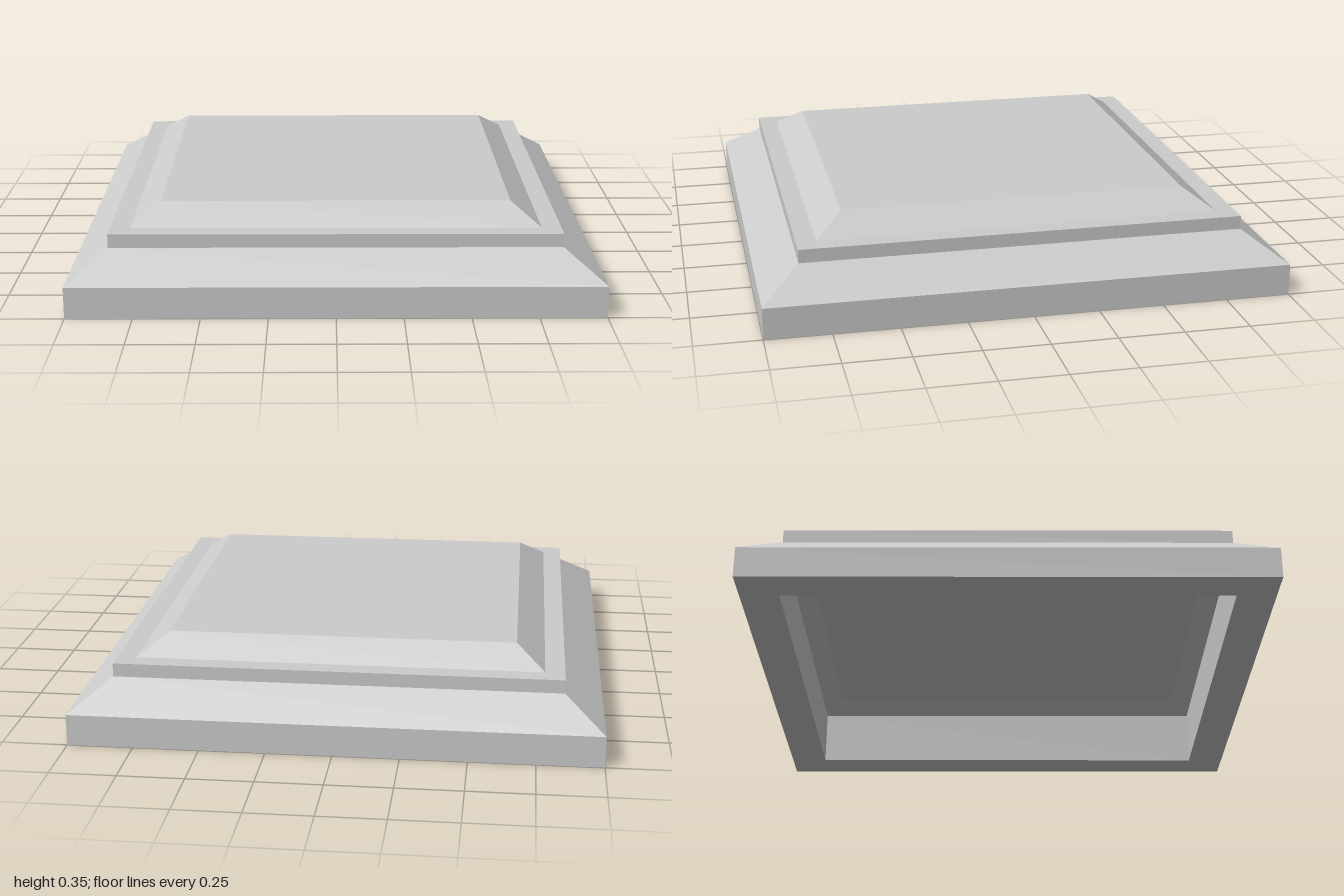
import * as THREE from 'three';

// Square part: a four-sided lathe whose profile gives [half width, height].
function squareLathe(name, profile, material) {
  const points = profile.map(([half, y]) => new THREE.Vector2(half * Math.SQRT2, y));
  const geometry = new THREE.LatheGeometry(points, 4, Math.PI / 4);
  const mesh = new THREE.Mesh(geometry, material);
  mesh.name = name;
  return mesh;
}

export function createModel() {
  const model = new THREE.Group();
  model.name = 'steppedSquarePlinth';
  const material = new THREE.MeshStandardMaterial({ color: 0xcccccc, flatShading: true });

  model.add(
    // Bevelled base ring, hollow inside with an open underside
    squareLathe('base', [[0.85, 0.224], [0.85, 0], [1, 0], [1, 0.121], [0.85, 0.224]], material),
    // Upright band, its inner side sloping up to the recess ceiling
    squareLathe('band', [[0.775, 0.276], [0.85, 0.224], [0.85, 0.276], [0.775, 0.276]], material),
    // Bevelled cap; its underside closes the recess
    squareLathe('cap', [[0, 0.276], [0.775, 0.276], [0.667, 0.35], [0, 0.35]], material),
  );
  return model;
}
